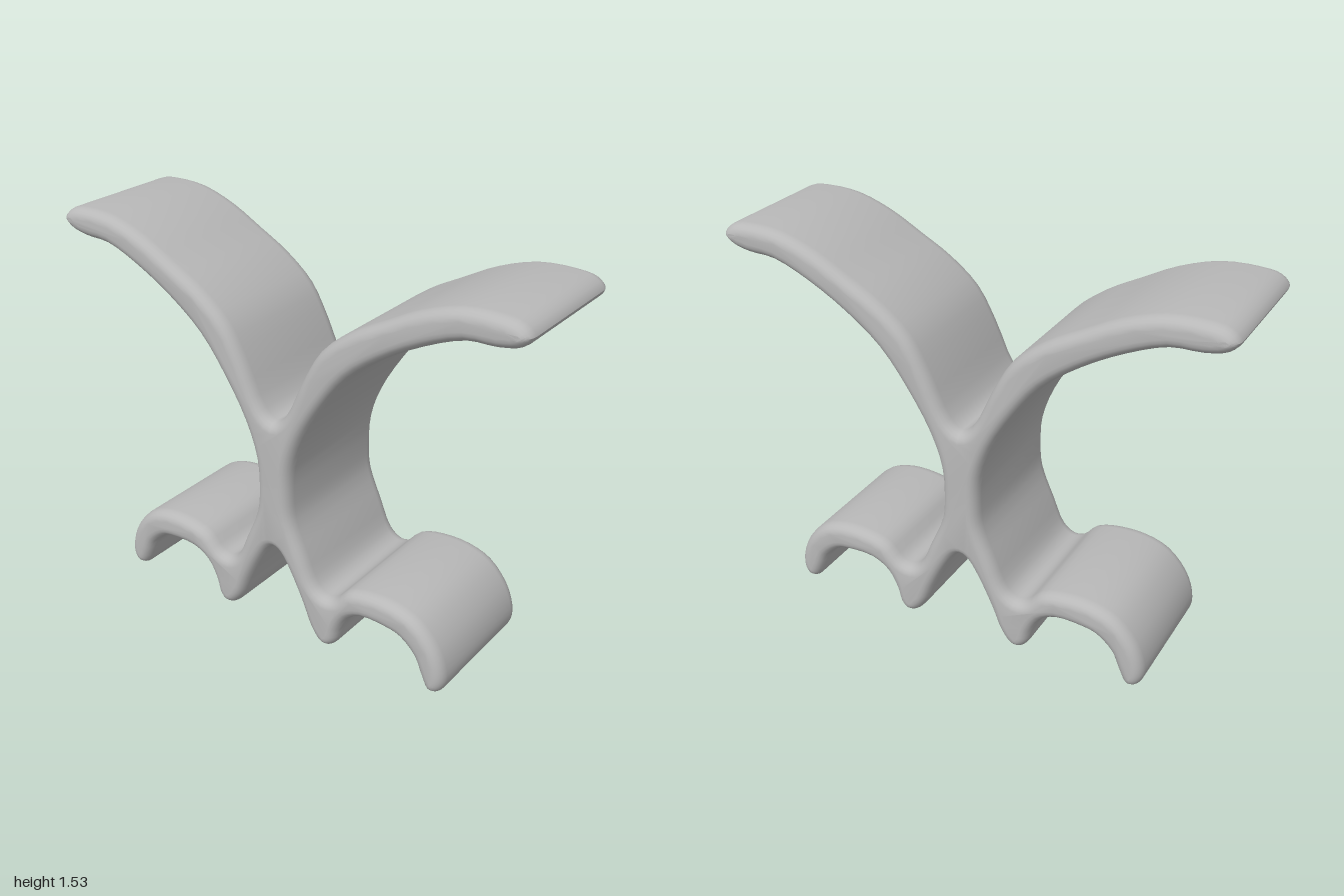
import * as THREE from 'three';
import { toCreasedNormals } from 'three/addons/utils/BufferGeometryUtils.js';

const WIDTH = 0.575; // full depth along z
const ROUND = 0.05;  // edge rounding

// Right half of the profile, from the upper notch round to the lower notch
const half = [
  // upper notch and top of the arm
  [0, 0.9], [0.05, 0.935], [0.13, 1.1], [0.21, 1.235], [0.33, 1.335], [0.465, 1.41],
  [0.6, 1.48], [0.75, 1.528], [0.89, 1.535],
  // arm tip
  [0.965, 1.522], [1, 1.485], [0.965, 1.445],
  // underside of the arm and the waist
  [0.89, 1.425], [0.775, 1.418], [0.625, 1.36], [0.465, 1.27], [0.33, 1.165], [0.225, 1.03],
  [0.13, 0.87], [0.082, 0.73], [0.075, 0.6], [0.085, 0.5], [0.14, 0.365], [0.19, 0.255],
  // valley and top of the foot arch
  [0.235, 0.225], [0.28, 0.235], [0.34, 0.295], [0.43, 0.32], [0.55, 0.32], [0.65, 0.285],
  [0.73, 0.2], [0.765, 0.11],
  // outer foot
  [0.765, 0.05], [0.74, 0.012], [0.7, 0.012], [0.665, 0.075],
  // underside of the arch
  [0.635, 0.14], [0.575, 0.192], [0.52, 0.205], [0.41, 0.205], [0.345, 0.17], [0.305, 0.1],
  // inner foot and lower notch
  [0.288, 0.04], [0.258, 0.008], [0.218, 0.01], [0.17, 0.065], [0.13, 0.16], [0.065, 0.29],
  [0.025, 0.348], [0, 0.36],
];

export function createModel() {
  const grey = new THREE.MeshStandardMaterial({ color: 0xb8b8b8 });
  grey.name = 'grey';

  // Mirror the half profile into one smooth closed outline
  const mirrored = half.slice(1, -1).reverse().map(([x, y]) => [-x, y]);
  const points = [...half, ...mirrored].map(([x, y]) => new THREE.Vector3(x, y, 0));
  const curve = new THREE.CatmullRomCurve3(points, true, 'centripetal');
  const outline = curve.getPoints(points.length * 3).slice(0, -1)
    .map((p) => new THREE.Vector2(p.x, p.y));

  // Sweep it through the depth with rounded edges
  const geometry = new THREE.ExtrudeGeometry(new THREE.Shape(outline), {
    depth: WIDTH - 2 * ROUND,
    steps: 1,
    bevelEnabled: true,
    bevelThickness: ROUND,
    bevelSize: 0.04,
    bevelOffset: -0.04,
    bevelSegments: 5,
  });
  geometry.translate(0, 0, -WIDTH / 2 + ROUND);

  const stand = new THREE.Mesh(toCreasedNormals(geometry, 0.7), grey);
  stand.name = 'curvedStand';

  const group = new THREE.Group();
  group.name = 'branchingStand';
  group.add(stand);
  return group;
}
